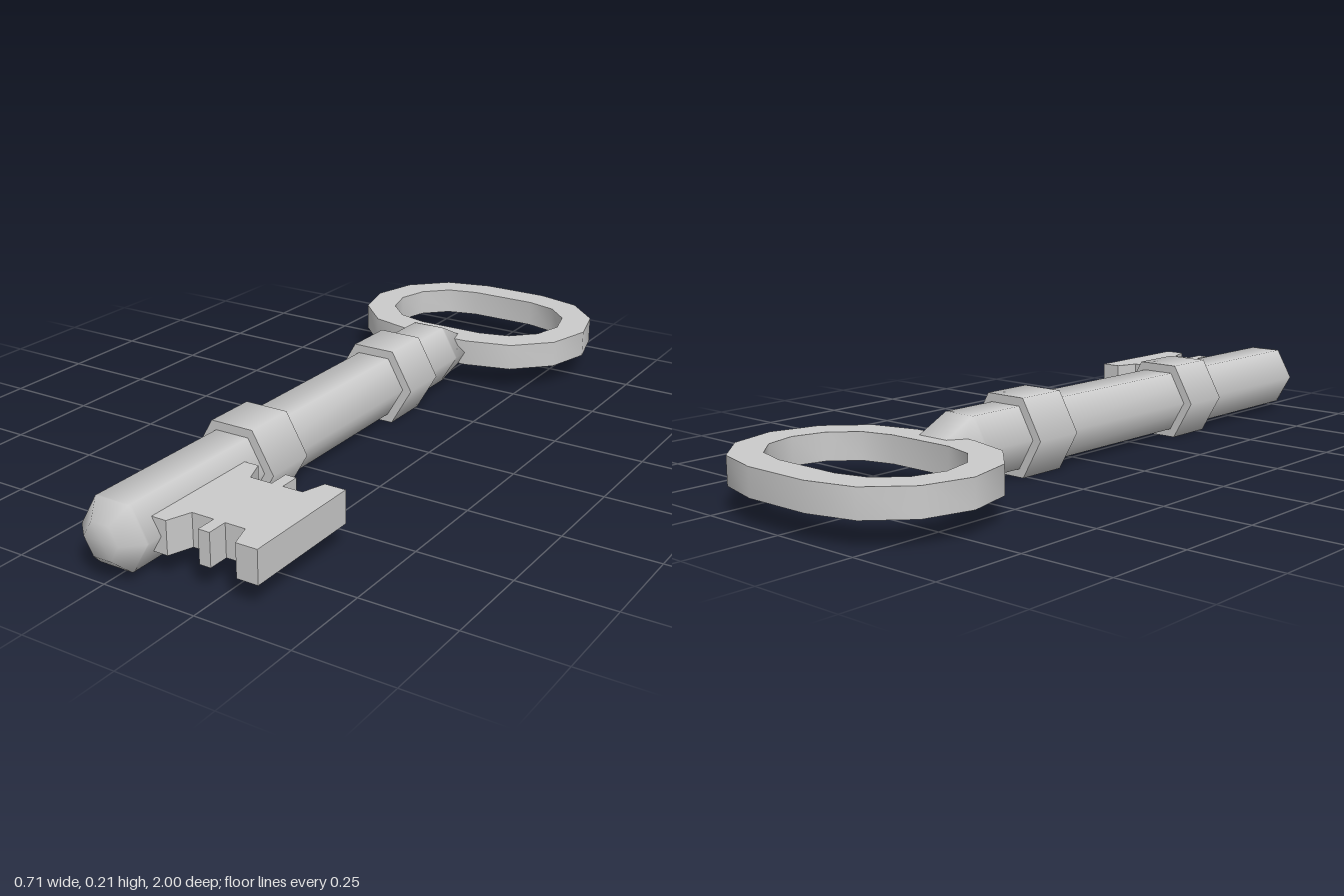
import * as THREE from 'three';
import { toCreasedNormals } from 'three/addons/utils/BufferGeometryUtils.js';

const AXIS_Y = 0.106; // height of the shaft's axis
const R = 0.095;      // shaft radius, corner to centre

export function createModel() {
  const key = new THREE.Group();
  key.name = 'key';
  const material = new THREE.MeshStandardMaterial({ color: 0xcccccc });

  const add = (name, geometry, z = 0) => {
    const mesh = new THREE.Mesh(geometry, material);
    mesh.name = name;
    mesh.position.set(0, AXIS_Y, z);
    key.add(mesh);
  };

  // Flat plate from an outline in x and z, centred on the axis height
  const plate = (outline, thickness, hole) => {
    const shape = new THREE.Shape(outline);
    if (hole) shape.holes.push(new THREE.Path(hole));
    const g = new THREE.ExtrudeGeometry(shape, { depth: thickness, bevelEnabled: false });
    g.translate(0, 0, -thickness / 2).rotateX(Math.PI / 2);
    return toCreasedNormals(g, 0.6);
  };

  // Shaft: six-sided, rounded tip in front, flattened to a wedge at the back
  const backZ = -0.525, backR = 0.042;
  const profile = [
    [0, backZ], [backR, backZ], [R, -0.432], [R, -0.425],
    [R, 0.95], [R, 0.957], [0.05, 1], [0, 1],
  ].map(([r, z]) => new THREE.Vector2(r, z));
  const shaft = new THREE.LatheGeometry(profile, 6, Math.PI / 2).rotateX(Math.PI / 2);
  const p = shaft.attributes.position;
  for (let i = 0; i < p.count; i++) {
    // the wedge keeps its full width
    if (p.getZ(i) < -0.5) p.setX(i, p.getX(i) * R / backR);
  }
  add('shaft', shaft);

  // Two collars around the shaft
  const collar = new THREE.CylinderGeometry(0.121, 0.121, 0.143, 6, 1, false, Math.PI / 2)
    .rotateX(Math.PI / 2);
  add('frontCollar', collar, 0.455);
  add('backCollar', collar, -0.193);

  // Bow: ring made of two half circles joined by short straight sides
  const oval = (radius) => {
    const points = [];
    for (const side of [1, -1]) {
      for (let i = 0; i <= 6; i++) {
        const a = -Math.PI / 2 + i * Math.PI / 6;
        points.push(new THREE.Vector2(
          side * (0.097 + radius * Math.cos(a)), side * radius * Math.sin(a)));
      }
    }
    return points;
  };
  add('bow', plate(oval(0.26), 0.074, oval(0.174)), -0.74);

  // Bit: notched plate, the same along both of its edges
  const edge = [
    [0.03, 0.17], [0.11, 0.17], [0.133, 0.108], [0.193, 0.108], [0.193, 0.163],
    [0.224, 0.163], [0.224, 0.108], [0.278, 0.108], [0.298, 0.17], [0.355, 0.17],
  ];
  const bitOutline = [
    ...edge.map(([x, z]) => new THREE.Vector2(x, -z)),
    ...edge.slice().reverse().map(([x, z]) => new THREE.Vector2(x, z)),
  ];
  add('bit', plate(bitOutline, 0.086), 0.741);

  return key;
}
